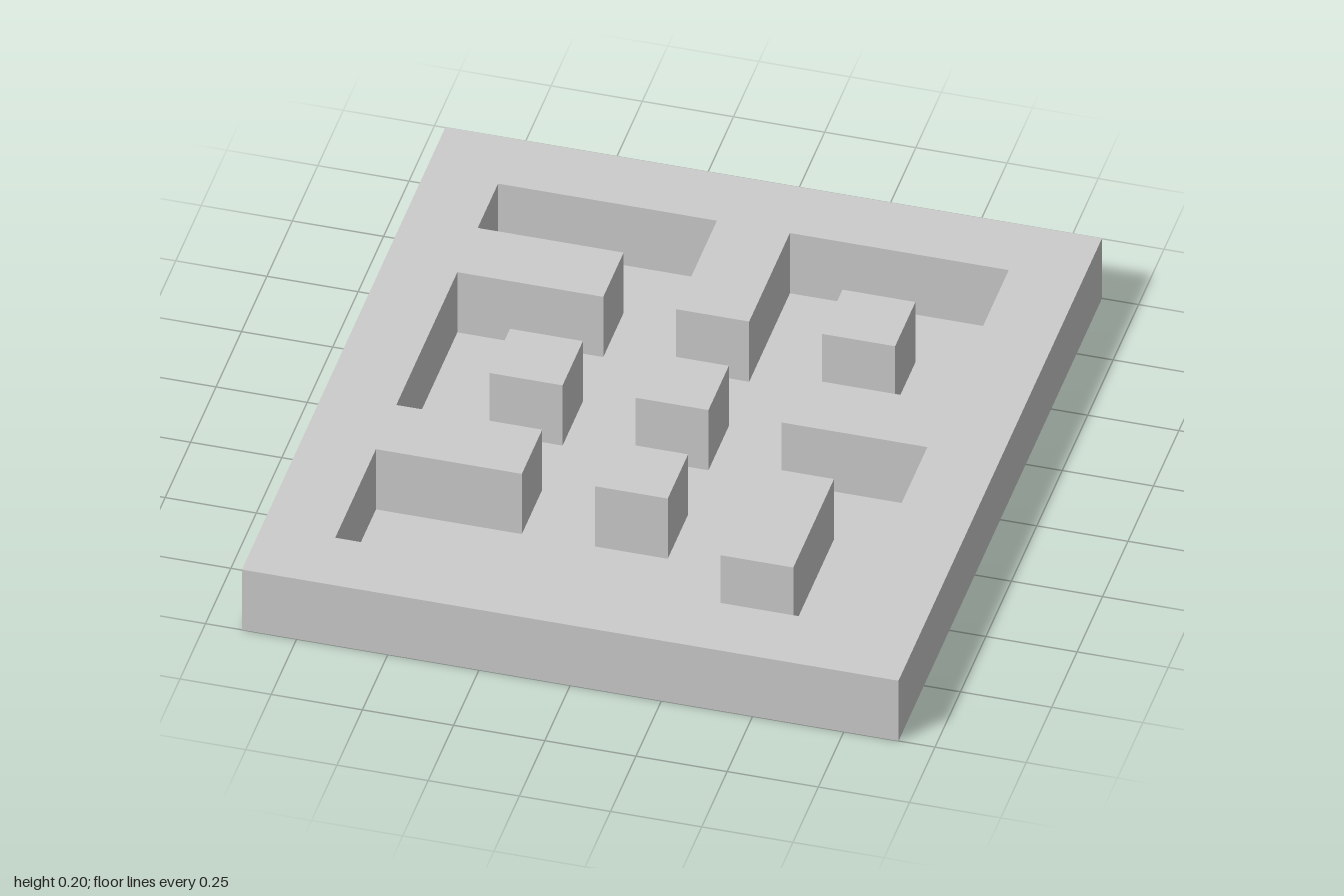
import * as THREE from 'three';

const H = 0.2; // height of the raised surfaces above the sunken floor

// Outlines are lists of [x, z]. Walls face to the right of the walking direction.
const rect = (x0, z0, x1, z1) => [[x0, z1], [x1, z1], [x1, z0], [x0, z0]];

const border = rect(-0.9, -1, 0.9, 1);

const pit = [
  [-0.7, -0.8], [-0.1, -0.8], [-0.1, -0.4], [0.1, -0.4], [0.1, -0.8],
  [0.7, -0.8], [0.7, -0.2], [0.3, -0.2], [0.3, 0], [0.7, 0],
  [0.7, 0.8], [-0.7, 0.8], [-0.7, 0.4], [-0.3, 0.4], [-0.3, 0.2],
  [-0.7, 0.2], [-0.7, -0.4], [-0.3, -0.4], [-0.3, -0.6], [-0.7, -0.6],
];

const blocks = [
  rect(0.3, -0.6, 0.5, -0.4),
  rect(-0.5, -0.2, -0.3, 0),
  rect(-0.1, -0.2, 0.1, 0),
  rect(-0.1, 0.2, 0.1, 0.4),
  rect(0.3, 0.2, 0.5, 0.6),
];

// Horizontal sheet at height y, with optional holes
function sheet(outline, holes, y) {
  const flat = (pts) => pts.map(([x, z]) => new THREE.Vector2(x, -z));
  const shape = new THREE.Shape(flat(outline));
  shape.holes = holes.map((h) => new THREE.Path(flat(h)));
  return new THREE.ShapeGeometry(shape).rotateX(-Math.PI / 2).translate(0, y, 0);
}

// Vertical strip from y = 0 to y = H along a closed outline
function walls(outline) {
  const pos = [];
  outline.forEach(([ax, az], i) => {
    const [bx, bz] = outline[(i + 1) % outline.length];
    pos.push(ax, 0, az, bx, 0, bz, bx, H, bz);
    pos.push(ax, 0, az, bx, H, bz, ax, H, az);
  });
  const geo = new THREE.BufferGeometry();
  geo.setAttribute('position', new THREE.Float32BufferAttribute(pos, 3));
  geo.computeVertexNormals();
  return geo;
}

export function createModel() {
  const model = new THREE.Group();
  model.name = 'mazeTile';
  const material = new THREE.MeshStandardMaterial({
    color: 0xcccccc, flatShading: true, side: THREE.DoubleSide,
  });
  const add = (parent, name, geometry) => {
    const mesh = new THREE.Mesh(geometry, material);
    mesh.name = name;
    parent.add(mesh);
  };

  // Raised rim with its inward ridges, open underneath
  add(model, 'rimTop', sheet(border, [pit], H));
  add(model, 'outerWalls', walls(border));
  add(model, 'pitWalls', walls(pit));

  // Sunken floor, open below each hollow block
  add(model, 'pitFloor', sheet(pit, blocks, 0));

  // Free-standing hollow blocks
  blocks.forEach((outline, i) => {
    const block = new THREE.Group();
    block.name = `block${i + 1}`;
    add(block, 'blockTop', sheet(outline, [], H));
    add(block, 'blockWalls', walls(outline));
    model.add(block);
  });

  return model;
}
